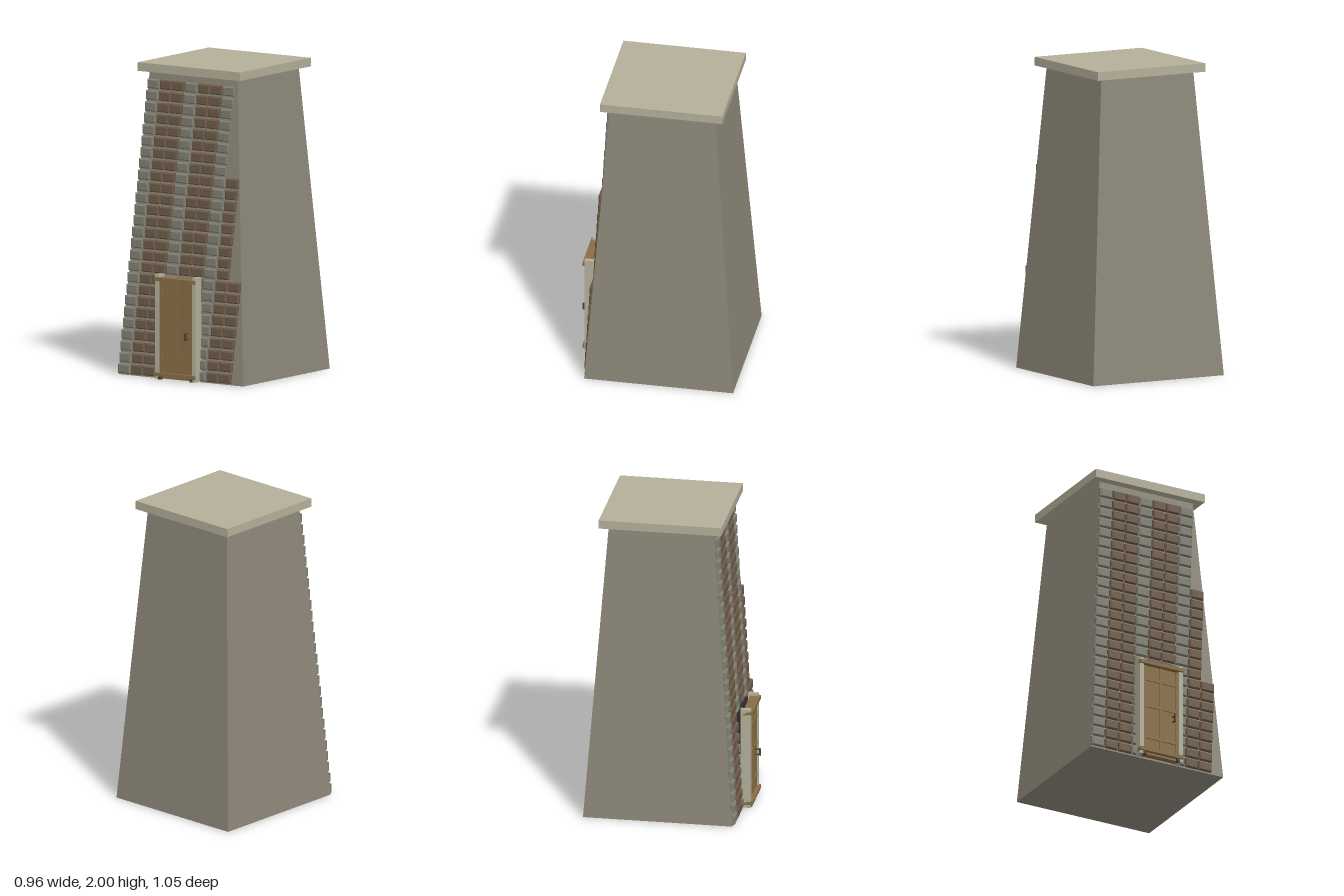
import * as THREE from 'three';

const mat = (name, color) => {
  const m = new THREE.MeshStandardMaterial({ color });
  m.name = name;
  return m;
};

export function createModel() {
  const group = new THREE.Group();
  const plaster = mat('plaster', 0x8c8778);
  const paleStone = mat('pale stone', 0xb4af9a);
  const greyBrick = mat('grey brick', 0x808074);
  const brownBrick = mat('brown brick', 0x6d5a48);
  const wood = mat('wood', 0x886d45);
  const darkWood = mat('dark wood', 0x54422c);
  const shadow = mat('doorway black', 0x2c2c2c);

  const add = (name, geometry, material, x = 0, y = 0, z = 0, parent = group) => {
    const mesh = new THREE.Mesh(geometry, material);
    mesh.name = name;
    mesh.position.set(x, y, z);
    parent.add(mesh);
    return mesh;
  };
  // Box given by its lower and upper limits on each axis
  const block = (name, material, x0, x1, y0, y1, z0, z1, parent) =>
    add(name, new THREE.BoxGeometry(x1 - x0, y1 - y0, z1 - z0), material,
      (x0 + x1) / 2, (y0 + y1) / 2, (z0 + z1) / 2, parent);

  // Tapered square tower
  const H = 1.945, baseHalf = 0.482, topHalf = 0.34, centreZ = -0.04;
  const slope = (baseHalf - topHalf) / H;
  const body = new THREE.BoxGeometry(2, H, 2);
  const p = body.attributes.position;
  for (let i = 0; i < p.count; i++) {
    const half = p.getY(i) > 0 ? topHalf : baseHalf;
    p.setX(i, p.getX(i) * half);
    p.setZ(i, p.getZ(i) * half);
  }
  body.computeVertexNormals();
  add('towerBody', body, plaster, 0, H / 2, centreZ);

  // Flat roof slab
  block('roofSlab', paleStone, -0.396, 0.396, H, 2, -0.436, 0.356);

  // Bevelled bricks in stepped rows that follow the sloping left edge
  const bevel = 0.007, w = 0.09, h = 0.06;
  const outline = new THREE.Shape();
  outline.moveTo(bevel, bevel - h / 2);
  outline.lineTo(w - bevel, bevel - h / 2);
  outline.lineTo(w - bevel, h / 2 - bevel);
  outline.lineTo(bevel, h / 2 - bevel);
  outline.closePath();
  const brick = new THREE.ExtrudeGeometry(outline, {
    depth: 0.016, bevelEnabled: true, bevelSize: bevel, bevelThickness: bevel, bevelSegments: 1,
  });
  brick.translate(0, 0, -0.003);
  const bricks = new THREE.Group();
  bricks.name = 'frontBricks';
  group.add(bricks);
  for (let row = 0; row < 26; row++) {
    const y = 0.04 + row * 0.073;
    const count = row < 9 ? 9 : row < 18 ? 8 : 7;
    for (let col = 0; col < count; col++) {
      const x = -baseHalf + slope * y + col * 0.0975;
      if (y < 0.64 && x > -0.14 && x + w < 0.14) continue; // doorway
      add('brick', brick, col % 3 === 0 ? greyBrick : brownBrick,
        x, y, centreZ + baseHalf - slope * y, bricks);
    }
  }

  // Door with its frame
  const door = new THREE.Group();
  door.name = 'door';
  group.add(door);
  block('doorwayBack', shadow, -0.141, 0.139, 0.005, 0.646, 0.41, 0.437, door);
  block('doorPanel', wood, -0.127, 0.127, 0.01, 0.63, 0.446, 0.49, door);
  for (const x of [-0.142, 0.141]) block('doorPost', paleStone, x - 0.015, x + 0.015, 0.005, 0.675, 0.437, 0.503, door);
  for (const y of [0.024, 0.635]) block('frameRail', wood, -0.157, 0.155, y, y + 0.023, 0.45, 0.516, door);
  for (const y of [0.12, 0.34, 0.525]) block('doorRail', wood, -0.127, 0.127, y, y + 0.022, 0.49, 0.498, door);
  block('doorStile', wood, -0.007, 0.007, 0.03, 0.63, 0.49, 0.497, door);
  for (const x of [-0.118, 0.118]) block('sideStile', wood, x - 0.009, x + 0.009, 0.03, 0.63, 0.49, 0.496, door);
  for (const x of [-0.122, 0.122]) block('doorFoot', darkWood, x - 0.009, x + 0.009, 0.003, 0.024, 0.48, 0.508, door);
  // Handle bar with two stubs
  block('handleBar', darkWood, 0.083, 0.092, 0.27, 0.318, 0.515, 0.526, door);
  for (const y of [0.272, 0.308]) block('handleStub', darkWood, 0.084, 0.091, y, y + 0.008, 0.49, 0.516, door);

  return group;
}
